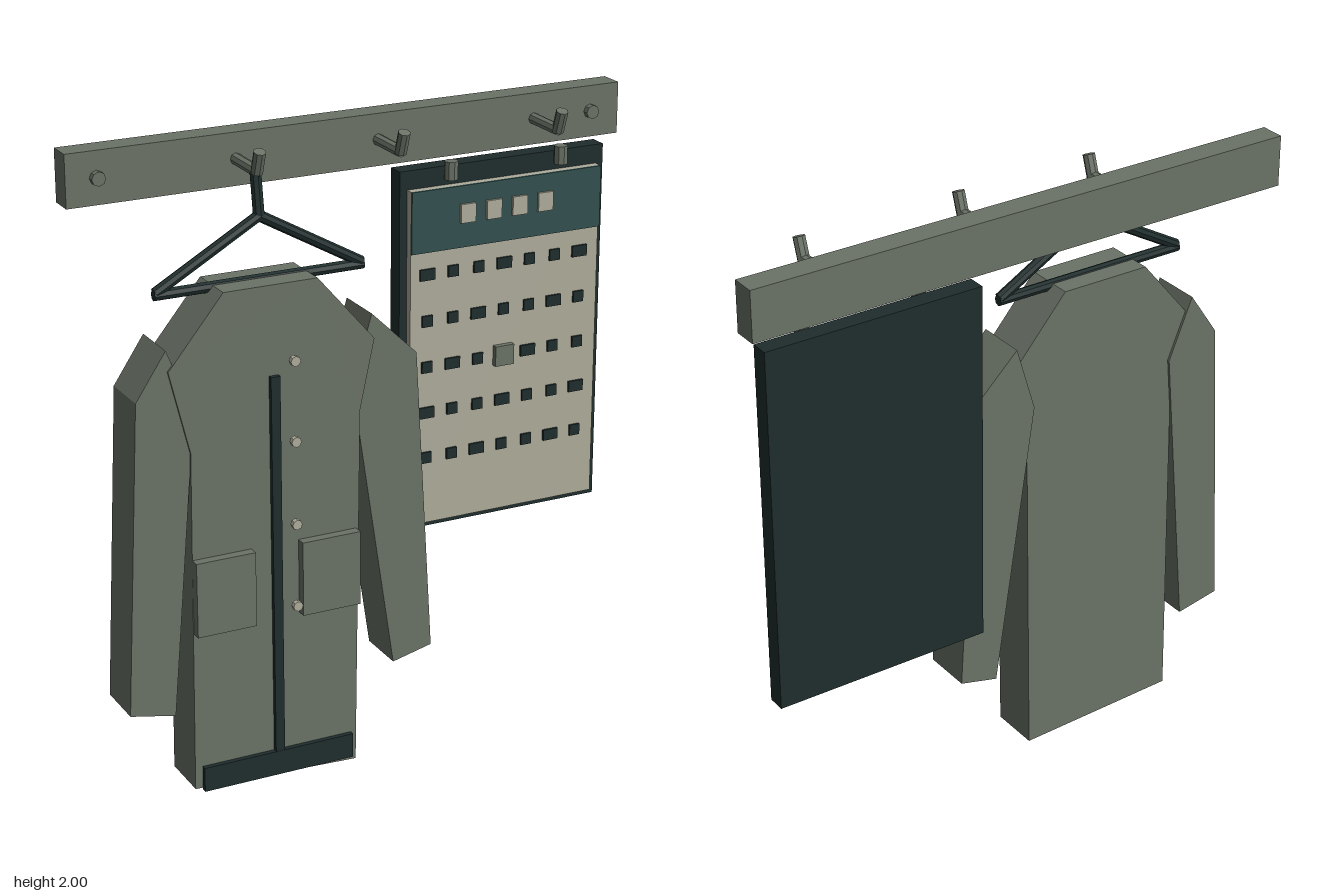
import * as THREE from 'three';

const material = (name, color) => {
  const m = new THREE.MeshStandardMaterial({ color, flatShading: true });
  m.name = name;
  return m;
};

export function createModel() {
  const root = new THREE.Group();
  root.name = 'coatRack';
  const sage = material('sage', 0x6a7266);
  const dark = material('darkGreen', 0x1f2d2d);
  const teal = material('teal', 0x32504f);
  const cream = material('cream', 0xaeab9a);

  const group = (name) => {
    const g = new THREE.Group();
    g.name = name;
    root.add(g);
    return g;
  };
  const add = (parent, name, geometry, mat) => {
    const mesh = new THREE.Mesh(geometry, mat);
    mesh.name = name;
    parent.add(mesh);
    return mesh;
  };
  // Box given by its limits on each axis
  const box = (parent, name, mat, [x0, x1], [y0, y1], [z0, z1]) =>
    add(parent, name, new THREE.BoxGeometry(x1 - x0, y1 - y0, z1 - z0), mat)
      .position.set((x0 + x1) / 2, (y0 + y1) / 2, (z0 + z1) / 2);
  // Rod between two points
  const rod = (parent, name, mat, from, to, radius, sides = 8) => {
    const a = new THREE.Vector3(...from), b = new THREE.Vector3(...to);
    const dir = b.clone().sub(a);
    const mesh = add(parent, name, new THREE.CylinderGeometry(radius, radius, dir.length(), sides), mat);
    mesh.position.copy(a).add(b).multiplyScalar(0.5);
    mesh.quaternion.setFromUnitVectors(new THREE.Vector3(0, 1, 0), dir.normalize());
  };
  // Flat outline given thickness along z
  const slab = (parent, name, mat, points, z0, z1) => {
    const shape = new THREE.Shape(points.map(([x, y]) => new THREE.Vector2(x, y)));
    const geometry = new THREE.ExtrudeGeometry(shape, { depth: z1 - z0, bevelEnabled: false });
    add(parent, name, geometry, mat).position.z = z0;
  };

  // Wall rail with screws and pegs
  const rail = group('rail');
  box(rail, 'railBoard', sage, [-0.915, 0.915], [1.838, 2], [-0.18, -0.1]);
  for (const x of [-0.82, 0.815]) rod(rail, 'screw', sage, [x, 1.92, -0.1], [x, 1.92, -0.08], 0.022);
  for (const x of [-0.385, 0.08, 0.615]) {
    rod(rail, 'pegShaft', sage, [x, 1.92, -0.1], [x, 1.92, 0.05], 0.018);
    rod(rail, 'pegTip', sage, [x, 1.915, 0.045], [x, 1.983, 0.069], 0.019);
  }

  // Hanger
  const hanger = group('hanger');
  const apex = [-0.385, 1.79, 0.055];
  rod(hanger, 'hangerHook', dark, [-0.385, 1.915, 0.036], apex, 0.018);
  rod(hanger, 'hangerArm', dark, apex, [-0.715, 1.603, 0.055], 0.017);
  rod(hanger, 'hangerArm', dark, apex, [-0.055, 1.603, 0.055], 0.017);
  rod(hanger, 'hangerBar', dark, [-0.72, 1.597, 0.055], [-0.05, 1.597, 0.055], 0.017);

  // Coat
  const coat = group('coat');
  slab(coat, 'coatBody', sage, [
    [-0.665, 0.03], [-0.12, 0.005], [-0.103, 1.17], [-0.055, 1.39],
    [-0.24, 1.605], [-0.54, 1.605], [-0.717, 1.39], [-0.653, 1.13],
  ], -0.023, 0.142);
  slab(coat, 'rightSleeve', sage,
    [[-0.72, 1.455], [-0.817, 1.31], [-0.866, 0.32], [-0.72, 0.29], [-0.638, 1.255]], -0.031, 0.135);
  slab(coat, 'leftSleeve', sage,
    [[-0.06, 1.465], [-0.125, 1.25], [0.015, 0.308], [0.147, 0.34], [0.09, 1.32]], -0.031, 0.135);
  box(coat, 'placket', dark, [-0.4, -0.37], [0.1, 1.327], [0.14, 0.157]);
  box(coat, 'hemBand', dark, [-0.64, -0.137], [0.022, 0.102], [0.14, 0.158]);
  box(coat, 'rightPocket', sage, [-0.657, -0.465], [0.55, 0.79], [0.14, 0.173]);
  box(coat, 'leftPocket', sage, [-0.31, -0.117], [0.55, 0.79], [0.14, 0.173]);
  for (const y of [1.373, 1.12, 0.855, 0.588])
    rod(coat, 'button', cream, [-0.33, y, 0.163], [-0.33, y, 0.18], 0.016);

  // Calendar board
  const calendar = group('calendar');
  box(calendar, 'backBoard', dark, [0.165, 0.88], [0.622, 1.802], [-0.18, -0.122]);
  box(calendar, 'page', cream, [0.19, 0.855], [0.645, 1.742], [-0.122, -0.097]);
  box(calendar, 'header', teal, [0.19, 0.855], [1.545, 1.742], [-0.097, -0.088]);
  for (const x of [0.33, 0.715]) rod(calendar, 'clip', sage, [x, 1.764, -0.101], [x, 1.822, -0.101], 0.022);
  for (let i = 0; i < 4; i++) {
    const x = 0.381 + i * 0.091;
    box(calendar, 'headerTile', cream, [x - 0.026, x + 0.026], [1.625, 1.685], [-0.088, -0.079]);
  }
  // Day marks, with one highlighted square in the middle
  for (let row = 0; row < 5; row++) {
    for (let col = 0; col < 7; col++) {
      const x = 0.247 + col * 0.09, y = 1.473 - row * 0.151;
      if (row === 2 && col === 3) {
        box(calendar, 'markedDay', sage, [x - 0.033, x + 0.033], [y - 0.033, y + 0.033], [-0.097, -0.078]);
        continue;
      }
      const w = (row + col) % 3 === 0 ? 0.026 : 0.018;
      box(calendar, 'dayMark', dark, [x - w, x + w], [y - 0.018, y + 0.018], [-0.097, -0.089]);
    }
  }
  return root;
}
